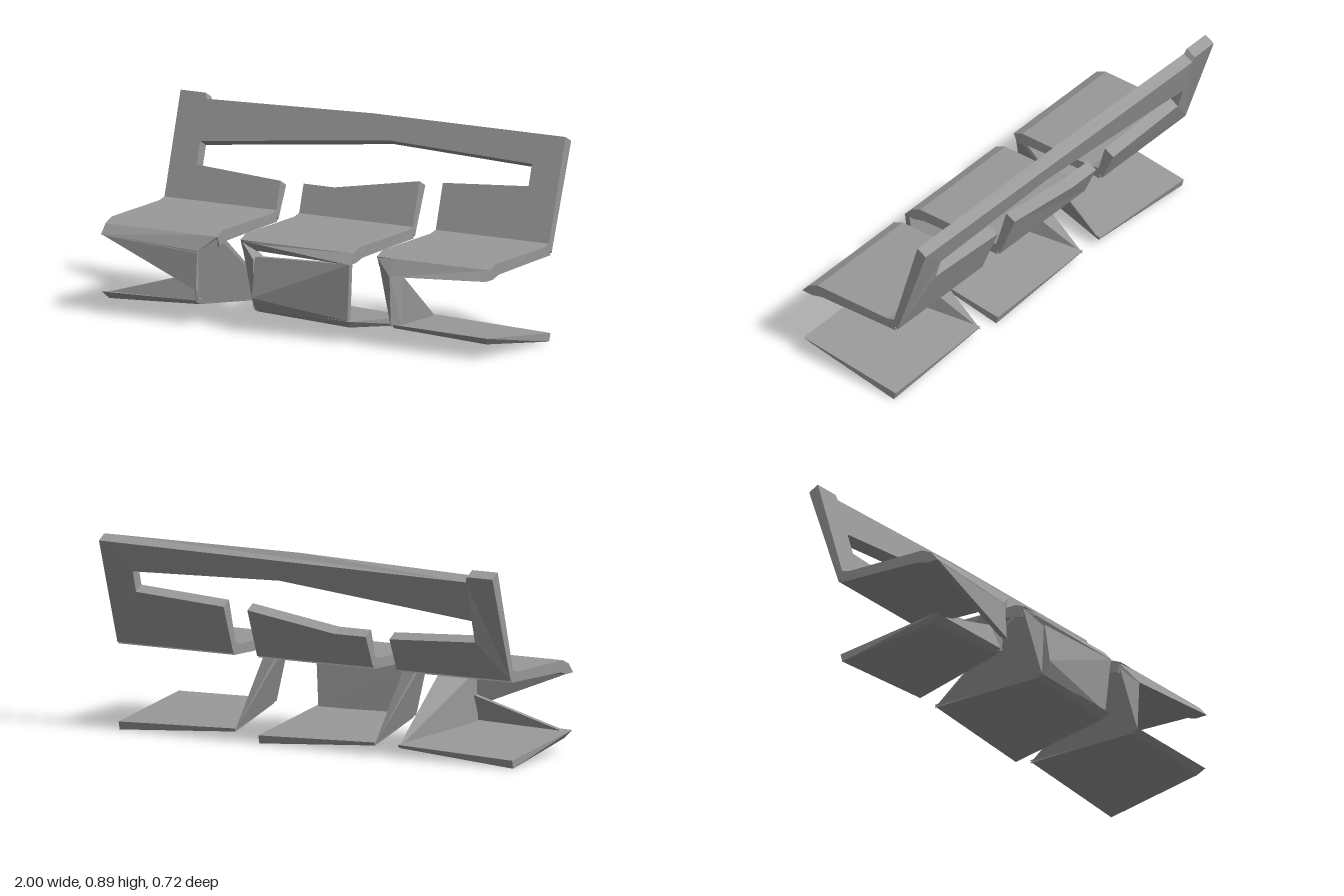
import * as THREE from 'three';
import { ConvexGeometry } from 'three/addons/geometries/ConvexGeometry.js';

export function createModel() {
  const group = new THREE.Group();
  const grey = new THREE.MeshStandardMaterial({ color: 0x999999 });
  grey.name = 'concrete grey';

  function add(name, geometry) {
    const mesh = new THREE.Mesh(geometry, grey);
    mesh.name = name;
    group.add(mesh);
  }

  // Extrude an outline by one unit and move each vertex by a rule
  function extrudeBy(points, steps, rule) {
    const shape = new THREE.Shape(points.map(p => new THREE.Vector2(...p)));
    const geometry = new THREE.ExtrudeGeometry(shape, { depth: 1, steps, bevelEnabled: false });
    const pos = geometry.attributes.position;
    for (let i = 0; i < pos.count; i++) {
      pos.setXYZ(i, ...rule(pos.getX(i), pos.getY(i), pos.getZ(i)));
    }
    geometry.computeVertexNormals();
    return geometry;
  }

  const hull = points => new ConvexGeometry(points.map(p => new THREE.Vector3(...p)));

  // Leaning backs: d = 1 is the front surface, d = 0 the rear one
  function lean(x, y, d) {
    const front = -0.175 - (y - 0.42) * 0.29;
    if (d > 0.5) return [x, y, front];
    const thinRail = y > 0.85 && Math.abs(x) < 0.3;
    const depth = thinRail ? 0.02 : y < 0.5 ? 0.025 : 0.047;
    return [x, y - 0.025, front - depth];
  }
  add('backFrame', extrudeBy([
    [-1, 0.42], [-0.42, 0.42], [-0.42, 0.565], [-0.86, 0.59], [-0.86, 0.69],
    [0.1, 0.79], [0.85, 0.765], [0.85, 0.67], [0.41, 0.64], [0.41, 0.42],
    [1, 0.42], [1, 0.895], [0, 0.895], [-0.86, 0.87], [-0.87, 0.895], [-1, 0.895],
  ], 1, lean));
  add('middleBack', extrudeBy([
    [-0.3, 0.42], [0.29, 0.42], [0.29, 0.635], [-0.14, 0.565], [-0.3, 0.565],
  ], 1, lean));

  // Seat profile as [-z, y]
  const seatProfile = [
    [-0.338, 0.355], [-0.28, 0.355], [-0.23, 0.37], [0, 0.38], [0.19, 0.387],
    [0.18, 0.44], [0.14, 0.43], [-0.25, 0.422], [-0.3, 0.4],
  ];

  // Each unit runs from its inner side, which carries the leg, to its outer side
  const units = [
    { name: 'right', inner: -0.42, outer: -1 },
    { name: 'middle', inner: -0.3, outer: 0.29 },
    { name: 'left', inner: 0.41, outer: 1 },
  ];
  for (const { name, inner, outer } of units) {
    const s = Math.sign(outer - inner);
    const at = offset => inner + s * offset;
    const legX = at(0.09);

    // Seat slab; its nose is cut back towards the inner corner
    add(name + 'Seat', extrudeBy(seatProfile, 2, (px, py, d) => {
      let t = s > 0 ? d : 1 - d;
      if (Math.abs(t - 0.5) < 0.1) t = 0.15;
      const cut = name === 'middle' ? 1 - t : t < 0.1 ? 1 : 0;
      let z = -px, y = py;
      if (z > 0.32) {
        z -= 0.043 * cut;
        y += 0.04 * cut;
      }
      if (name !== 'middle' && t > 0.1 && t < 0.2 && px < -0.27 && py < 0.36) y = 0.325;
      return [inner + (outer - inner) * t, y, z];
    }));

    // Sloping base plate
    add(name + 'Base', hull([
      [legX, 0.11, 0.325], [outer, 0.1, 0.33], [outer, 0.04, -0.19], [inner, 0.06, -0.19],
      [legX, 0.09, 0.3], [outer - s * 0.02, 0.068, 0.3], [outer, 0.003, -0.18], [inner, 0.045, -0.18],
    ]));

    // Faceted leg that runs back to the rear of the base
    add(name + 'Leg', hull([
      [inner, 0.385, 0.24], [inner, 0.395, 0.29], [inner, 0.045, -0.19],
      [legX, 0.33, 0.337], [legX, 0.1, 0.327],
      [at(0.12), 0.33, 0.285], [at(0.125), 0.1, 0.29],
    ]));
  }

  // Front panel closing the middle unit
  const middleFront = [[-0.2, 0.34, 0.335], [0.29, 0.357, 0.335], [0.27, 0.1, 0.32], [-0.2, 0.16, 0.362], [-0.2, 0.1, 0.33]];
  // Triangular front panel and low gusset of the right unit
  const rightFront = [[-1, 0.358, 0.336], [-0.5, 0.335, 0.336], [-0.5, 0.16, 0.348]];
  const rightGusset = [[-0.97, 0.1, 0.31], [-0.5, 0.235, 0.29], [-0.5, 0.11, 0.325]];
  const panels = { middleFrontPanel: middleFront, rightFrontPanel: rightFront, rightGusset };
  for (const [name, points] of Object.entries(panels)) {
    add(name, hull([...points, ...points.map(([x, y, z]) => [x, y, z - 0.025])]));
  }

  return group;
}
